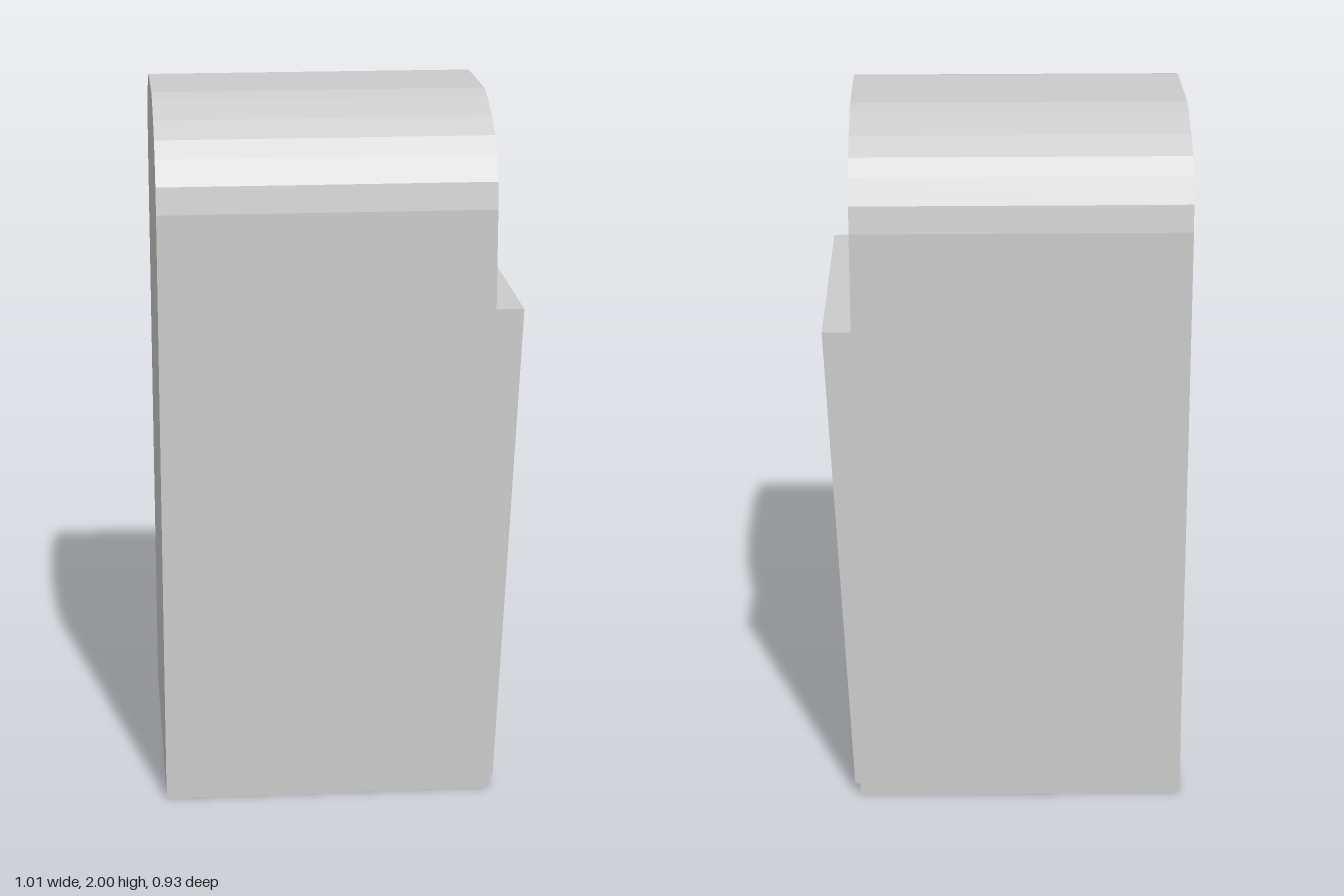
import * as THREE from 'three';

const BACK = -0.51, FRONT = 0.425;

// Half of the arched top, from shoulder to crown: [half width, height]
const ARCH = [[0.467, 1.715], [0.455, 1.79], [0.42, 1.86], [0.38, 1.905], [0.315, 1.948], [0.22, 1.987], [0.16, 2]];

// Arched outline, counterclockwise, fitted to a half width, base and top
function outline(halfWidth, base, top) {
  const k = halfWidth / 0.467;
  const half = [new THREE.Vector2(halfWidth, base),
    ...ARCH.map(([w, h]) => new THREE.Vector2(w * k, top - (2 - h) * k))];
  return [...half, ...half.map(p => new THREE.Vector2(-p.x, p.y)).reverse()];
}

// Flat-shaded wall swept along an outline between two depths
function wall(points, z0, z1, closed) {
  const pos = [];
  const count = closed ? points.length : points.length - 1;
  for (let i = 0; i < count; i++) {
    const p = points[i], q = points[(i + 1) % points.length];
    pos.push(p.x, p.y, z0, q.x, q.y, z0, q.x, q.y, z1);
    pos.push(p.x, p.y, z0, q.x, q.y, z1, p.x, p.y, z1);
  }
  const g = new THREE.BufferGeometry();
  g.setAttribute('position', new THREE.Float32BufferAttribute(pos, 3));
  g.computeVertexNormals();
  return g;
}

// Flat plate, optionally with an opening
function plate(points, z, hole) {
  const shape = new THREE.Shape(points);
  if (hole) shape.holes.push(new THREE.Path(hole));
  return new THREE.ShapeGeometry(shape).translate(0, 0, z);
}

export function createModel() {
  const model = new THREE.Group();
  model.name = 'archedBin';
  const material = new THREE.MeshStandardMaterial({ color: 0xcccccc, flatShading: true, side: THREE.DoubleSide });
  const add = (parent, name, geometry) => {
    const mesh = new THREE.Mesh(geometry, material);
    mesh.name = name;
    parent.add(mesh);
  };

  // Shell is drawn facing +z, then turned so its opening faces +x
  const shell = new THREE.Group();
  shell.name = 'shell';
  shell.rotation.y = Math.PI / 2;
  model.add(shell);

  const body = outline(0.467, 0, 2);
  const rim = outline(0.448, 1.47, 1.993);
  const inner = outline(0.41, 1.5, 1.984);
  const step = FRONT - 0.016, deep = step - 0.018;

  // Hollow body, open underneath
  add(shell, 'bodyWall', wall(body, BACK, FRONT, false));
  add(shell, 'backPanel', plate(body, 0).rotateY(Math.PI).translate(0, 0, BACK));
  add(shell, 'facePanel', plate(body, FRONT, rim));

  // Stepped recess under the arch
  add(shell, 'recessRim', wall(rim, FRONT, step, true));
  add(shell, 'recessLedge', plate(rim, step, inner));
  add(shell, 'recessInnerRim', wall(inner, step, deep, true));
  add(shell, 'recessPanel', plate(inner, deep));

  // Tilted door, wider at the top
  const door = new THREE.Shape([[FRONT, 0.03], [0.44, 0.03], [0.505, 1.43], [FRONT, 1.43]]
    .map(([x, y]) => new THREE.Vector2(x, y)));
  add(model, 'door', new THREE.ExtrudeGeometry(door, { depth: 0.904, bevelEnabled: false }).translate(0, 0, -0.452));

  return model;
}
